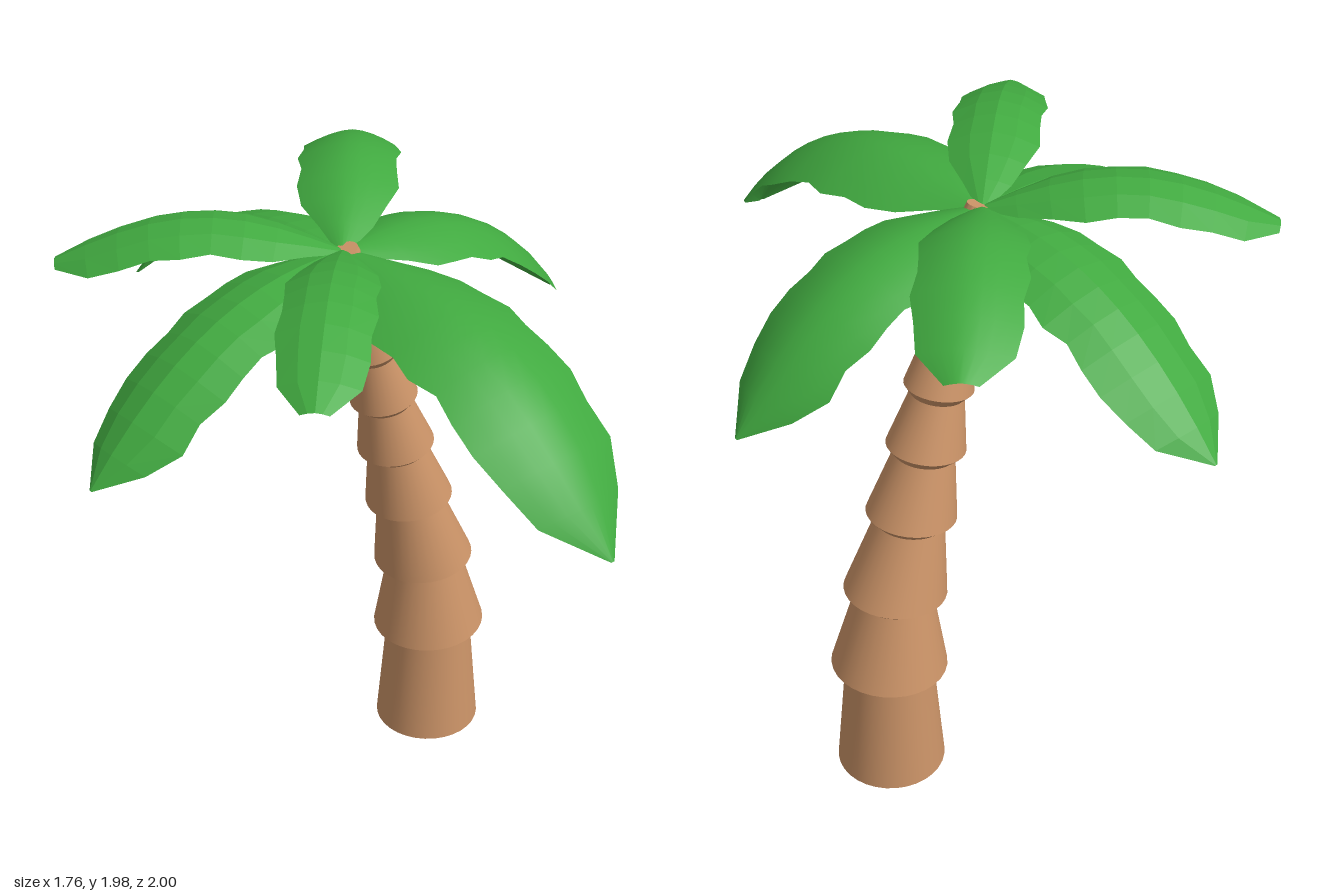
import * as THREE from 'three';
import { toCreasedNormals } from 'three/addons/utils/BufferGeometryUtils.js';

const bark = new THREE.MeshStandardMaterial({ color: 0xcc9468 });
const leafSmooth = new THREE.MeshStandardMaterial({ color: 0x41aa40, side: THREE.DoubleSide });
const leafFaceted = leafSmooth.clone();
leafFaceted.flatShading = true;

// Skin a list of equally long cross-sections (arrays of Vector3)
function skin(rows) {
  const n = rows[0].length, index = [];
  for (let i = 0; i < rows.length - 1; i++) {
    for (let j = 0; j < n - 1; j++) {
      const a = i * n + j, b = a + 1, c = a + n, d = c + 1;
      index.push(a, c, b, b, c, d);
    }
  }
  const geo = new THREE.BufferGeometry().setFromPoints(rows.flat());
  geo.setIndex(index);
  geo.computeVertexNormals();
  return geo;
}

// Trunk centre line: upright at the foot, then a steady lean to -x
function trunkX(y) {
  const k = y - 0.55;
  return 0.4 - 0.135 * (k + Math.hypot(k, 0.08));
}

const lipRadius = (y) => 0.177 - 0.08 * (y - 0.388);

// Trunk ring, tilted with the lean so its +x side rides higher
function ring(y, r, sides = 32) {
  const tilt = 0.15 * y;
  return Array.from({ length: sides + 1 }, (_, j) => {
    const a = (j / sides) * Math.PI * 2, c = Math.cos(a) * r;
    return new THREE.Vector3(trunkX(y) + c, y + c * tilt, -0.09 + Math.sin(a) * r);
  });
}

function makeTrunk() {
  const trunk = new THREE.Group();
  trunk.name = 'trunk';
  const joints = [0, 0.36, 0.632, 0.887, 1.105, 1.295, 1.48, 1.66, 1.865];
  for (let i = 0; i < joints.length - 1; i++) {
    const [y0, y1] = [joints[i], joints[i + 1]];
    const last = i === joints.length - 2;
    const topRadius = last ? 0.032 : 0.76 * lipRadius(y1);
    // Each segment flares from the joint to a lip, then tapers to the next joint
    const rows = i
      ? [ring(y0, 0.76 * lipRadius(y0)), ring(y0 + 0.026, lipRadius(y0 + 0.026))]
      : [ring(0, 0), ring(0, 0.167)];
    rows.push(ring(y1, topRadius));
    if (last) rows.push(ring(y1, 0));
    const mesh = new THREE.Mesh(toCreasedNormals(skin(rows), 0.6), bark);
    mesh.name = `trunkSegment${i + 1}`;
    trunk.add(mesh);
  }
  return trunk;
}

const CROWN = new THREE.Vector3(0.04, 1.86, -0.1);

// Ridge height is rise * sin(pi f) - fall * f^bend; blunt is the width left at the tip
const drooping = { rise: 0.02, blunt: 0.001, rows: 12 };
const arching = { bend: 1, blunt: 0.1, rows: 9 };
const FRONDS = [
  { ...drooping, name: 'frontFrond', x: 0.02, z: 1, fall: 0.49, bend: 3.5, width: 0.215, smooth: true },
  { ...drooping, name: 'leftFrond', x: 0.88, z: -0.07, fall: 0.41, bend: 3, width: 0.18, smooth: true },
  { ...drooping, name: 'rightFrond', x: -0.88, z: -0.1, fall: 0.41, bend: 2.4, width: 0.168 },
  { ...drooping, name: 'backFrond', x: 0, z: -1, fall: 0.39, bend: 2.5, width: 0.173 },
  { ...arching, name: 'backLeftFrond', x: 0.61, z: -0.69, rise: 0.125, fall: 0.015, width: 0.145, smooth: true },
  { ...arching, name: 'backRightFrond', x: -0.57, z: -0.65, rise: 0.115, fall: 0.03, width: 0.14 },
  { ...arching, name: 'frontRightFrond', x: -0.55, z: 0.455, rise: 0.11, fall: 0.04, width: 0.128 },
];

function makeFrond({ name, x, z, rise, fall, bend, width, blunt, rows, smooth }) {
  const along = new THREE.Vector3(x - CROWN.x, 0, z - CROWN.z);
  const length = along.length();
  along.normalize();
  const side = new THREE.Vector3(-along.z, 0, along.x);
  const across = smooth ? 8 : 4;
  const sections = [];
  for (let i = 0; i <= rows; i++) {
    const f = i / rows;
    const height = rise * Math.sin(Math.PI * f) - fall * f ** bend;
    const rate = rise * Math.PI * Math.cos(Math.PI * f) - fall * bend * f ** (bend - 1);
    const slope = Math.atan2(rate, length);
    // Widens quickly from the crown, stays broad, closes to the tip
    const opening = Math.max(0.12, 1 - (1 - Math.min(f / 0.35, 1)) ** 2);
    const closing = Math.sqrt(Math.min(1, blunt + (1 - f) / 0.18));
    const section = [];
    for (let j = 0; j <= across; j++) {
      const u = (j / across) * 2 - 1;
      // Wavy margin, different on the two edges
      const wave = 1 + 0.06 * Math.abs(u) * Math.sin(i * 2.4 + (u > 0 ? 2 : 0));
      const half = width * opening * closing * wave;
      const drop = 0.34 * half * Math.abs(u) ** 1.7;
      section.push(CROWN.clone()
        .addScaledVector(along, f * length + drop * Math.sin(slope))
        .addScaledVector(side, -u * half)
        .add(new THREE.Vector3(0, height - drop * Math.cos(slope), 0)));
    }
    sections.push(section);
  }
  const mesh = new THREE.Mesh(skin(sections), smooth ? leafSmooth : leafFaceted);
  mesh.name = name;
  return mesh;
}

export function createModel() {
  const model = new THREE.Group();
  model.name = 'palmTree';
  const crown = new THREE.Group();
  crown.name = 'crown';
  FRONDS.forEach((f) => crown.add(makeFrond(f)));
  model.add(makeTrunk(), crown);
  return model;
}
